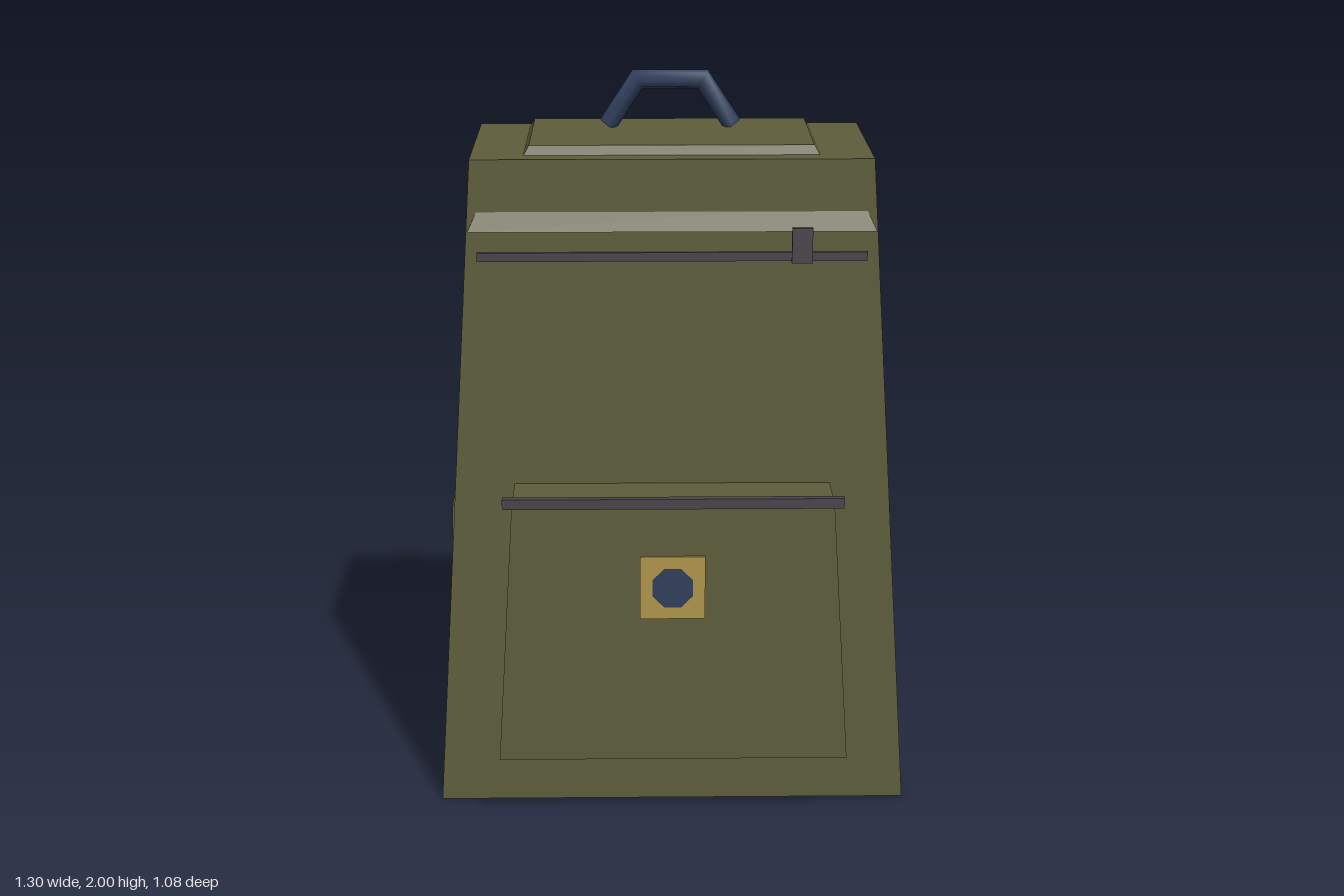
import * as THREE from 'three';

const mat = (name, color) => {
  const m = new THREE.MeshStandardMaterial({ color });
  m.name = name;
  return m;
};

// Tapered box: each end is [y, xMin, xMax, zMin, zMax]
function taperedBox([y0, a0, b0, c0, d0], [y1, a1, b1, c1, d1]) {
  const geo = new THREE.BoxGeometry(1, 1, 1);
  const p = geo.attributes.position;
  for (let i = 0; i < p.count; i++) {
    const top = p.getY(i) > 0, right = p.getX(i) > 0, front = p.getZ(i) > 0;
    p.setXYZ(i,
      top ? (right ? b1 : a1) : (right ? b0 : a0),
      top ? y1 : y0,
      top ? (front ? d1 : c1) : (front ? d0 : c0));
  }
  geo.computeVertexNormals();
  return geo;
}

// Elliptical section (half sizes a along wides[i], b across) swept along points, with end caps
function sweep(points, wides, a, b, sides = 8) {
  const pos = [], index = [], n = points.length;
  const rings = points.map((p, i) => {
    const before = points[Math.max(i - 1, 0)], after = points[Math.min(i + 1, n - 1)];
    const out = after.clone().sub(i < n - 1 ? p : before).normalize();
    const inn = p.clone().sub(i > 0 ? before : p).normalize();
    const t = out.clone().add(inn).normalize();
    const w = wides[i].clone().addScaledVector(t, -wides[i].dot(t)).normalize();
    const u = t.clone().cross(w);
    const miter = b / t.dot(out);
    return Array.from({ length: sides }, (_, k) => {
      const ang = (k / sides) * Math.PI * 2;
      return p.clone().addScaledVector(w, a * Math.cos(ang)).addScaledVector(u, miter * Math.sin(ang));
    });
  });
  rings.forEach((ring) => ring.forEach((v) => pos.push(v.x, v.y, v.z)));
  for (let i = 0; i < n - 1; i++) {
    for (let k = 0; k < sides; k++) {
      const k2 = (k + 1) % sides;
      const p = i * sides + k, q = i * sides + k2;
      index.push(p, q, q + sides, p, q + sides, p + sides);
    }
  }
  for (const end of [0, n - 1]) {
    const base = pos.length / 3;
    rings[end].forEach((v) => pos.push(v.x, v.y, v.z));
    for (let k = 1; k < sides - 1; k++) {
      if (end) index.push(base, base + k, base + k + 1);
      else index.push(base, base + k + 1, base + k);
    }
  }
  const geo = new THREE.BufferGeometry();
  geo.setAttribute('position', new THREE.Float32BufferAttribute(pos, 3));
  geo.setIndex(index);
  geo.computeVertexNormals();
  return geo;
}

export function createModel() {
  const group = new THREE.Group();
  group.name = 'backpack';
  const olive = mat('olive canvas', 0x5c5c3a);
  const navy = mat('navy webbing', 0x2d3d5a);
  const grey = mat('dark grey trim', 0x48444a);
  const gold = mat('gold patch', 0xad9448);
  const V = (x, y, z) => new THREE.Vector3(x, y, z);

  const add = (name, geo, material) => {
    const mesh = new THREE.Mesh(geo, material);
    mesh.name = name;
    group.add(mesh);
    return mesh;
  };
  const box = (name, material, x, y, z, w, h, d) => {
    const mesh = add(name, new THREE.BoxGeometry(w, h, d), material);
    mesh.position.set(x, y, z);
    return mesh;
  };

  // Bag body, raised lid panel and the sloping ridge over the zip
  add('body', taperedBox([0, -0.65, 0.65, -0.28, 0.365], [1.82, -0.535, 0.535, -0.235, 0.32]), olive);
  add('lidPanel', taperedBox([1.815, -0.397, 0.397, -0.182, 0.262], [1.845, -0.38, 0.38, -0.17, 0.25]), olive);
  add('zipFlap', taperedBox([1.63, -0.543, 0.543, -0.257, 0.345], [1.7, -0.51, 0.51, -0.23, 0.315]), olive);

  // Main zip and its pull
  box('mainZip', grey, 0, 1.56, 0.325, 1.04, 0.024, 0.02);
  box('zipPull', grey, 0.345, 1.593, 0.347, 0.055, 0.095, 0.016);

  // Front pocket with trimmed top edge
  add('frontPocket', taperedBox([0.2, -0.475, 0.475, 0.3, 0.54], [0.93, -0.43, 0.43, 0.3, 0.522]), olive);
  box('frontPocketTrim', grey, 0, 0.935, 0.526, 0.91, 0.028, 0.022);

  // Plain patch with an octagonal inlay, leaning with the pocket face
  const lean = -Math.atan(0.018 / 0.73);
  box('patch', gold, -0.002, 0.697, 0.53, 0.175, 0.175, 0.008).rotation.x = lean;
  const inlayGeo = new THREE.CircleGeometry(0.059, 8, Math.PI / 8);
  const inlay = add('patchInlay', inlayGeo, navy);
  inlay.position.set(-0.002, 0.697, 0.536);
  inlay.rotation.x = lean;

  // Carry handle
  const zAxis = V(0, 0, 1);
  add('carryHandle', sweep(
    [V(-0.172, 1.85, -0.048), V(-0.09, 1.975, -0.048), V(0.09, 1.975, -0.048), V(0.172, 1.85, -0.048)],
    [zAxis, zAxis, zAxis, zAxis], 0.03, 0.026), navy);

  for (const s of [1, -1]) {
    const side = s > 0 ? 'left' : 'right';

    // Side pocket, flush with the body lower down
    const xs = (x) => (s > 0 ? [0.5, x] : [-x, -0.5]);
    add(side + 'SidePocket', taperedBox([0.2, ...xs(0.621), -0.185, 0.265], [0.825, ...xs(0.611), -0.125, 0.215]), olive);

    // Shoulder strap: flat at the ends, turned edge-on between
    const across = V(s, 0, 0), back = V(0, 0, -1);
    add(side + 'ShoulderStrap', sweep(
      [V(0.35 * s, 1.735, -0.28), V(0.405 * s, 1.52, -0.433), V(0.432 * s, 0.92, -0.478),
        V(0.475 * s, 0.31, -0.388), V(0.525 * s, 0.13, -0.268)],
      [across, back, back, back, across], 0.066, 0.032), navy);

    // Strap adjuster
    box(side + 'StrapBuckle', grey, 0.485 * s, 0.437, -0.443, 0.13, 0.105, 0.045);
  }
  return group;
}
